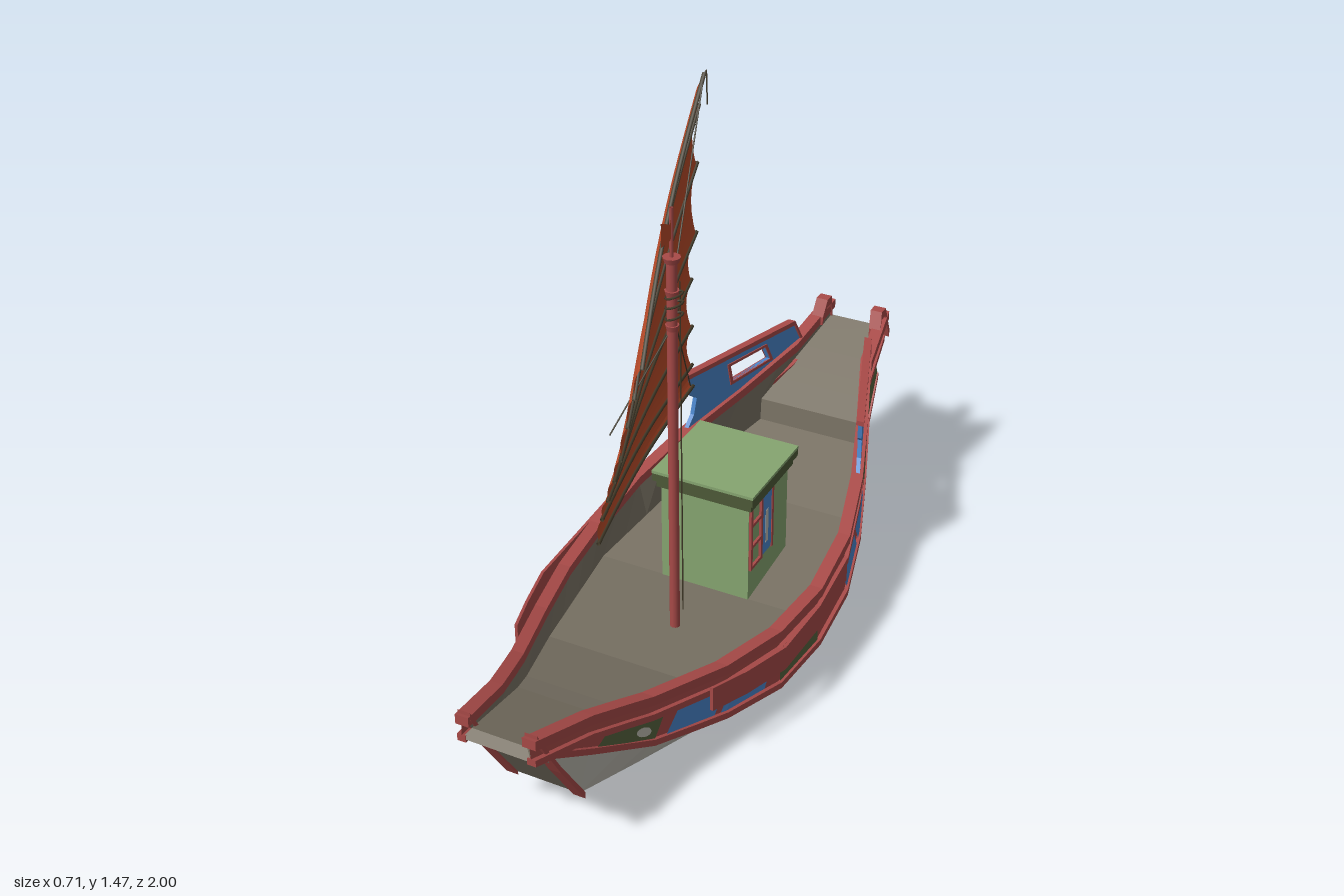
import * as THREE from 'three';

const paint = (name, color) =>
  Object.assign(new THREE.MeshStandardMaterial({ color, side: THREE.DoubleSide }), { name });

// Hull lines, bow to stern: [half width, height, z]
const TOP = [[.085, .39, 1], [.12, .33, .8], [.175, .275, .63], [.25, .228, .4], [.3, .21, .2], [.32, .215, 0],
  [.31, .25, -.2], [.26, .3, -.4], [.19, .35, -.6], [.115, .415, -.8], [.085, .475, -1]];
const MID = TOP.map(([x, y, z], i) => [x + .004, y - (i < 6 ? .05 : .065), i === 10 ? -.98 : z]);
const STRAKE = [[.09, .33, .96], [.125, .235, .8], [.185, .145, .62], [.26, .09, .4], [.31, .055, .2], [.328, .058, 0],
  [.318, .08, -.2], [.27, .12, -.4], [.2, .168, -.6], [.125, .235, -.8], [.095, .31, -.93]];
const BOTTOM = [[.09, .1, .81], [.15, .065, .6], [.205, .035, .4], [.255, .01, .2], [.275, 0, 0],
  [.262, .008, -.2], [.22, .025, -.4], [.16, .055, -.6], [.11, .09, -.75]];
const DECK = [[.07, .365, .985], [.14, .235, .67], [.23, .155, .4], [.3, .125, 0], [.25, .165, -.4],
  [.15, .235, -.665], [.15, .3, -.67], [.075, .44, -.99]];
const STATIONS = [1, .96, .9, .81, .7, .63, .5, .4, .3, .2, .1, 0, -.1, -.2, -.3, -.4, -.5, -.6, -.665, -.67, -.75, -.8, -.87, -.93, -.98, -1];

// Point on a hull line at a given z, held at the line's ends
function at(line, z, s = 1) {
  let i = 0;
  while (i < line.length - 2 && z < line[i + 1][2]) i++;
  const a = line[i], b = line[i + 1];
  const t = THREE.MathUtils.clamp((a[2] - z) / (a[2] - b[2]), 0, 1);
  return [0, 1, 2].map(k => (a[k] + (b[k] - a[k]) * t) * (k === 0 ? s : 1));
}
const mix = (a, b, t) => a.map((v, k) => v + (b[k] - v) * t);

// Facetted surface through rows of points
function skin(rows) {
  const pos = [];
  for (let i = 0; i < rows.length - 1; i++)
    for (let j = 0; j < rows[i].length - 1; j++) {
      const a = rows[i][j], b = rows[i + 1][j], c = rows[i + 1][j + 1], d = rows[i][j + 1];
      pos.push(...a, ...b, ...c, ...a, ...c, ...d);
    }
  const g = new THREE.BufferGeometry();
  g.setAttribute('position', new THREE.Float32BufferAttribute(pos, 3));
  g.computeVertexNormals();
  return g;
}

// Closed rectangular bar along a path (width in x, height in y)
function bar(path, w, h) {
  const rows = path.map(([x, y, z]) =>
    [[-1, -1], [1, -1], [1, 1], [-1, 1], [-1, -1]].map(([i, j]) => [x + i * w / 2, y + j * h / 2, z]));
  const cap = p => Array(5).fill(p);
  return skin([cap(path[0]), ...rows, cap(path[path.length - 1])]);
}

function rod(a, b, r, sides = 6) {
  const p = new THREE.Vector3(...a), q = new THREE.Vector3(...b);
  return new THREE.TubeGeometry(new THREE.LineCurve3(p, q), 1, r, sides);
}

export function createModel() {
  const red = paint('red trim', 0xa84a48), white = paint('hull white', 0xbfbcb2), taupe = paint('deck taupe', 0x787163),
    blue = paint('blue', 0x4a86cc), moss = paint('moss green', 0x56633f), green = paint('cabin green', 0x86a570),
    olive = paint('roof olive', 0x4d5a38), orange = paint('sail orange', 0xb84a28), dark = paint('dark wood', 0x443c2a);
  const model = new THREE.Group();
  const add = (name, geo, mat, parent = model) => {
    const m = new THREE.Mesh(geo, mat);
    m.name = name;
    parent.add(m);
    return m;
  };
  const box = (name, w, h, d, x, y, z, mat) => add(name, new THREE.BoxGeometry(w, h, d), mat).position.set(x, y, z);

  // Bottom, deck and end boards
  add('hullBottom', skin(STATIONS.map(z => [at(BOTTOM, z, -1), at(BOTTOM, z)])), taupe);
  add('deck', skin(STATIONS.map(z => [at(DECK, z, -1), at(DECK, z)])), taupe);
  for (const [name, z] of [['bowBoard', 1], ['sternBoard', -1]])
    add(name, skin([BOTTOM, STRAKE, MID, DECK].map(l => [at(l, z, -1), at(l, z)])), taupe);

  for (const s of [1, -1]) {
    const side = new THREE.Group();
    side.name = s > 0 ? 'leftSide' : 'rightSide';
    model.add(side);
    const strip = (name, a, b, mat, from = 1, to = -1) => add(name,
      skin(STATIONS.filter(z => z <= from && z >= to).map(z => [at(a, z, s), at(b, z, s)])), mat, side);
    const path = (line, from = 1, to = -1) => STATIONS.filter(z => z <= from && z >= to).map(z => at(line, z, s));

    // Planking
    strip('lowerPlanking', BOTTOM, STRAKE, white);
    strip('sidePlanking', STRAKE, MID, red);
    strip('foreBulwark', MID, TOP, red, 1, -.2);
    strip('aftBulwark', MID, TOP, moss, -.2, -1);
    const inner = TOP.map(([x, y, z]) => [x - .012, y, z]);
    strip('bulwarkLining', DECK, inner, taupe);

    // Rails
    add('gunwale', bar(path(TOP), .034, .026), red, side);
    add('middleRail', bar(path(MID, 1, -.98), .022, .018), red, side);
    add('rubbingStrake', bar(path(STRAKE, .96, -.93), .02, .018), red, side);
    add('bowPost', bar([at(BOTTOM, 1, s), mix(at(BOTTOM, 1, s), [s * .085, .4, 1], .5), [s * .085, .4, .99]], .032, .02), red, side);
    add('sternPost', bar([[s * .09, .42, -.995], [s * .085, .5, -.97], [s * .085, .5, -.94], [s * .09, .45, -.92]], .035, .025), red, side);

    // Painted panels: [name, z start, z end, low, high, slant, colour, from line, to line]
    const panels = [
      ['bowPanel', .78, .61, .15, .9, .03, moss], ['bluePanel', .57, .42, .15, .9, .04, blue],
      ['bluePanel', .4, .24, .15, .9, .04, blue], ['middlePanel', .2, .01, .55, .9, 0, blue],
      ['lowPanel', .2, .01, .12, .42, 0, moss], ['bluePanel', -.18, -.33, .15, .9, -.05, blue],
      ['bluePanel', -.35, -.5, .15, .9, -.05, blue], ['sternPanel', -.54, -.91, .15, .92, -.04, moss],
      ['scrollWork', -.55, -.86, .2, .85, 0, taupe, MID, TOP]];
    for (const [name, z0, z1, f0, f1, slant, mat, lo = STRAKE, hi = MID] of panels) {
      const rows = [];
      for (let i = 0; i <= 8; i++) {
        const z = z0 + (z1 - z0) * i / 8;
        rows.push([0, .5, 1].map(v => {
          const f = f0 + (f1 - f0) * v, zz = z - slant * (v - .5);
          const p = mix(at(lo, zz, s), at(hi, zz, s), f);
          p[0] += s * .006;
          return p;
        }));
      }
      add(name, skin(rows), mat, side);
    }
    // White ornaments: [z, half length, centre, half height, from line, to line]
    for (const [z, r, c, h, lo, hi] of [[.66, .022, .5, .2, STRAKE, MID], [.1, .065, .72, .1, STRAKE, MID],
      [-.42, .11, .5, .36, MID, TOP], [-.72, .025, .6, .12, STRAKE, MID]]) {
      const rows = Array.from({ length: 9 }, (_, i) => {
        const a = Math.PI * i / 8, zz = z + r * Math.cos(a);
        return [-1, 1].map(k => {
          const p = mix(at(lo, zz, s), at(hi, zz, s), c + k * h * Math.sin(a));
          p[0] += s * .009;
          return p;
        });
      });
      add('ornament', skin(rows), white, side);
    }

    // Outboard wale plank
    add('walePlank', bar([[.268, .205, .49], [.305, .19, .38], [.343, .178, .24], [.35, .178, .05], [.342, .2, -.14]]
      .map(([x, y, z]) => [s * x, y, z]), .008, .068), red, side);

    // Quarter screen with a window, leaning along the gunwale
    const lean = (geo, off) => {
      const p = geo.attributes.position;
      for (let i = 0; i < p.count; i++) {
        const z = p.getX(i), d = p.getZ(i);
        p.setXYZ(i, s * (.262 + (z + .4) * .36 + d + off), p.getY(i), z);
      }
      geo.computeVertexNormals();
      return geo;
    };
    const poly = pts => pts.map(p => new THREE.Vector2(...p));
    const extrude = (outline, hole, depth, off) => {
      const shape = new THREE.Shape(poly(outline));
      shape.holes.push(new THREE.Path(poly(hole)));
      return lean(new THREE.ExtrudeGeometry(shape, { depth, bevelEnabled: false }), off);
    };
    const hole = [[-.57, .4], [-.56, .452], [-.69, .46], [-.71, .415]];
    add('quarterScreen', extrude([[-.4, .3], [-.43, .35], [-.44, .4], [-.41, .425], [-.4, .478], [-.8, .492], [-.83, .425], [-.6, .35]],
      hole, .012, -.006), blue, side);
    add('windowFrame', extrude([[-.562, .39], [-.55, .46], [-.695, .468], [-.72, .408]], hole, .018, -.009), red, side);
    const edge = [[-.395, .48], [-.8, .495], [-.83, .43]].map(([z, y]) => [s * (.262 + (z + .4) * .36), y, z]);
    add('screenTrim', bar(edge, .022, .014), red, side);
  }

  // Cabin with stepped roof, door and lattice
  box('cabin', .25, .31, .235, .005, .265, -.115, green);
  box('cabinCornice', .27, .02, .255, .005, .415, -.117, olive);
  box('roofEdge', .285, .022, .275, .005, .437, -.119, olive);
  box('roof', .287, .008, .277, .005, .452, -.119, green);
  box('doorPanel', .006, .19, .055, .132, .315, -.097, blue);
  box('doorOrnament', .008, .1, .015, .132, .3, -.097, white);
  for (const z of [-.005, -.065, -.13]) box('doorPost', .01, .2, .01, .132, .315, z, red);
  for (const y of [.22, .285, .35, .41]) box('lattice', .01, .009, .06, .132, y, -.035, red);

  // Mast, collars, topmast and pennant
  const MX = .02, MZ = .2;
  add('mast', rod([MX, .12, MZ], [MX, 1.18, MZ], .013, 10), red);
  add('topmast', rod([MX, 1.17, MZ], [MX, 1.305, MZ], .005), red);
  for (const [y, r] of [[1.175, .022], [1.09, .018], [1.0, .017]])
    add('mastCollar', new THREE.CylinderGeometry(r, r * .8, .014, 10), red).position.set(MX, y, MZ);
  add('pennant', skin([[[MX, 1.28, MZ], [MX, 1.23, MZ]], [[MX + .01, 1.275, .225], [MX + .01, 1.235, .225]],
    [[MX, 1.285, .25], [MX, 1.225, .25]]]), orange);
  for (const y of [1.03, 1.06, 1.085]) {
    const loop = add('parrelLoop', new THREE.TorusGeometry(.022, .003, 5, 12), dark);
    loop.position.set(MX + .006, y, MZ);
    loop.rotation.set(Math.PI / 2, .4, 0);
  }

  // Battened sail: each batten runs from luff to leech
  const battens = [
    [[-.1, .457, .36], [-.195, .51, -.32]], [[-.09, .528, .357], [-.2, .572, -.325]], [[-.075, .583, .352], [-.198, .69, -.323]],
    [[-.06, .64, .346], [-.198, .83, -.32]], [[-.045, .7, .34], [-.178, .975, -.31]], [[-.03, .79, .33], [-.163, 1.18, -.285]],
    [[-.017, .865, .32], [-.14, 1.35, -.25]], [[0, .945, .31], [-.1, 1.455, -.2]]];
  const bow = (p, v) => [p[0] - .015 * Math.sin(Math.PI * v), p[1], p[2]];
  const rows = [];
  for (let i = 0; i <= 42; i++) {
    const k = Math.min(Math.floor(i / 6), 6), f = i / 6 - k, puff = Math.sin(Math.PI * f);
    const a = mix(battens[k][0], battens[k + 1][0], f), b = mix(battens[k][1], battens[k + 1][1], f);
    b[2] += .008 * puff;
    rows.push(Array.from({ length: 13 }, (_, j) => {
      const p = bow(mix(a, b, j / 12), j / 12);
      p[0] -= .01 * puff;
      return p;
    }));
  }
  add('sail', skin(rows), orange);
  for (const [a, b] of battens) {
    const pts = [-.01, .2, .4, .6, .8, 1.012].map(v => new THREE.Vector3(...bow(mix(a, b, v), v)));
    add('batten', new THREE.TubeGeometry(new THREE.CatmullRomCurve3(pts), 10, .0055, 5), dark);
  }

  // Rigging
  const peak = [-.1, 1.455, -.2], head = [MX, 1.09, MZ];
  const lines = [[peak, head], [[MX, 1.1, .16], [MX, .16, .155]], [[MX, 1.05, MZ], [-.195, .52, -.31]],
    [[MX, 1.0, MZ], [-.08, .75, .33]], [peak, [-.1, 1.465, -.215]], [[-.1, 1.465, -.215], [-.095, 1.38, -.21]]];
  for (const [a, b] of lines) add('rope', rod(a, b, .002, 4), dark);
  return model;
}
